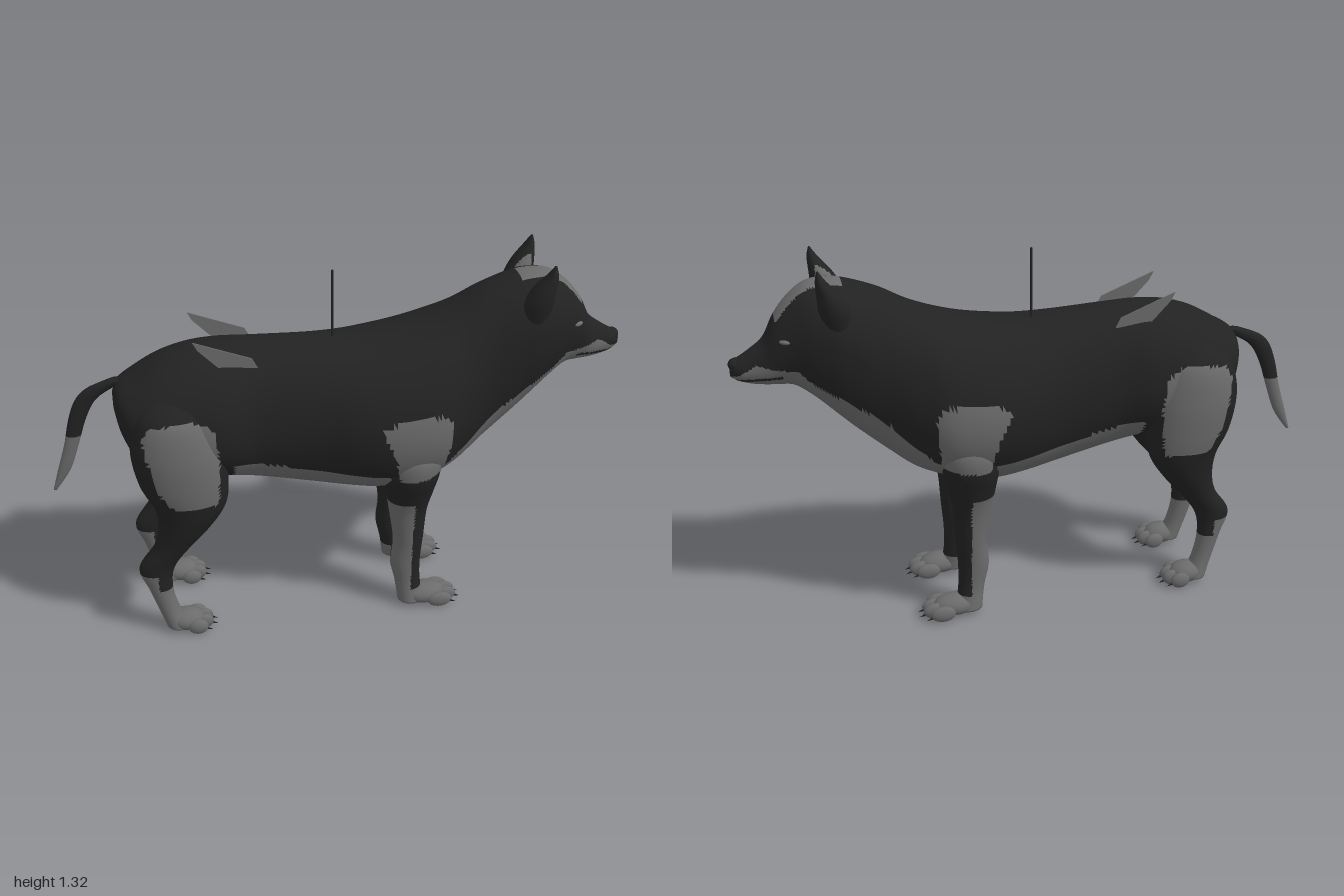
import * as THREE from 'three';

const coat = new THREE.MeshStandardMaterial({ color: 0x222222 });
coat.name = 'darkCoat';
const pale = new THREE.MeshStandardMaterial({ color: 0x6b6b6b });
pale.name = 'greyCoat';

const spline = (a, b, c, d, t) => 0.5 * (2 * b + (c - a) * t + (2 * a - 5 * b + 4 * c - d) * t * t + (3 * b - a - 3 * c + d) * t * t * t);

// Smooth skin through cross-sections; isPale(x, y, z) picks the colour of each face
function loft(name, sections, ring, isPale, sub = 8, seg = 48) {
  const pos = [], last = sections.length - 1, rows = last * sub;
  for (let i = 0; i <= rows; i++) {
    const k = Math.min(Math.floor(i / sub), last - 1), t = i / sub - k;
    const at = (n) => sections[Math.max(0, Math.min(last, n))];
    const s = at(k).map((v, c) => spline(at(k - 1)[c], v, at(k + 1)[c], at(k + 2)[c], t));
    for (let j = 0; j < seg; j++) pos.push(...ring(s, (j / seg) * Math.PI * 2));
  }
  const centre = (row) => {
    const c = [0, 0, 0];
    for (let j = 0; j < seg; j++) for (let n = 0; n < 3; n++) c[n] += pos[(row * seg + j) * 3 + n] / seg;
    return c;
  };
  const ends = [...centre(0), ...centre(rows)];
  pos.push(...ends);
  const faces = [[], []], first = (rows + 1) * seg;
  const add = (...f) => {
    const m = [0, 1, 2].map((n) => f.reduce((sum, v) => sum + pos[v * 3 + n], 0) / 3);
    faces[isPale(...m) ? 1 : 0].push(...f);
  };
  for (let j = 0; j < seg; j++) {
    const n = (j + 1) % seg;
    for (let i = 0; i < rows; i++) {
      const a = i * seg + j, b = a + seg, d = i * seg + n, c = d + seg;
      add(a, d, c);
      add(a, c, b);
    }
    add(first, n, j);
    add(first + 1, rows * seg + j, rows * seg + n);
  }
  const geo = new THREE.BufferGeometry();
  geo.setAttribute('position', new THREE.Float32BufferAttribute(pos, 3));
  geo.setIndex([...faces[0], ...faces[1]]);
  geo.addGroup(0, faces[0].length, 0);
  geo.addGroup(faces[0].length, faces[1].length, 1);
  geo.computeVertexNormals();
  const mesh = new THREE.Mesh(geo, [coat, pale]);
  mesh.name = name;
  return mesh;
}

// Upright section: [x, top, bottom, half width, height of widest point]
const uprightRing = ([x, top, bottom, w, mid], a) => {
  const c = Math.cos(a), s = Math.sin(a);
  return [x, mid + c * (c > 0 ? top - mid : mid - bottom), Math.sign(s) * Math.abs(s) ** 0.9 * w];
};
// Level section: [y, x, z, x radius, z radius]
const levelRing = (side) => ([y, x, z, rx, rz], a) => [x + Math.cos(a) * rx, y, side * z + Math.sin(a) * rz];

function inside(poly, x, y) {
  let hit = false;
  poly.forEach(([ax, ay], i) => {
    const [bx, by] = poly[(i + 1) % poly.length];
    if ((ay > y) !== (by > y) && x < ((bx - ax) * (y - ay)) / (by - ay) + ax) hit = !hit;
  });
  return hit;
}
function lineAt(line, x) {
  const i = line.findIndex((p) => p[0] >= x);
  if (i < 1) return -1;
  const [ax, ay] = line[i - 1], [bx, by] = line[i];
  return ay + ((by - ay) * (x - ax)) / (bx - ax);
}

// Marking outlines seen from the side
const hipPatch = [[-0.68, 0.85], [-0.65, 0.9], [-0.52, 0.915], [-0.44, 0.87], [-0.43, 0.75], [-0.44, 0.58], [-0.6, 0.59], [-0.65, 0.68]];
const shoulderPatch = [[0.11, 0.83], [0.18, 0.87], [0.33, 0.865], [0.36, 0.82], [0.34, 0.62], [0.18, 0.61], [0.16, 0.71]];
const bellyLine = [[-0.38, 0.71], [-0.1, 0.65], [0.12, 0.62], [0.3, 0.6], [0.4, 0.68], [0.5, 0.78], [0.6, 0.85], [0.73, 0.93], [0.78, 0.98], [0.85, 0.985], [0.91, 1.0], [0.96, 0.965], [1.01, 0.95]];
const onPatch = (x, y, z) => Math.abs(z) > 0.1 && (inside(hipPatch, x, y) || inside(shoulderPatch, x, y));

function bodyMarks(x, y, z) {
  if (x > 0.83 && Math.abs(y - 0.947 - (0.9 - x) * 0.1) < 0.005) return false; // mouth
  if (x > 0.62 && x < 0.84 && y > 1.14 && Math.abs(z) < 0.048) return true; // forehead
  return y < lineAt(bellyLine, x) || onPatch(x, y, z);
}

const bodySections = [
  [-0.76, 0.93, 0.87, 0.03, 0.9], [-0.74, 0.96, 0.78, 0.11, 0.88], [-0.69, 0.99, 0.68, 0.17, 0.85], [-0.6, 1.04, 0.63, 0.2, 0.84],
  [-0.5, 1.07, 0.61, 0.215, 0.83], [-0.4, 1.08, 0.6, 0.215, 0.82], [-0.28, 1.08, 0.57, 0.188, 0.82], [-0.1, 1.07, 0.53, 0.205, 0.81],
  [0.02, 1.065, 0.51, 0.24, 0.8], [0.12, 1.073, 0.5, 0.262, 0.79], [0.22, 1.09, 0.505, 0.268, 0.79], [0.32, 1.12, 0.535, 0.255, 0.8],
  [0.41, 1.16, 0.57, 0.21, 0.85], [0.5, 1.21, 0.64, 0.175, 0.95], [0.6, 1.245, 0.73, 0.165, 1.05], [0.66, 1.255, 0.79, 0.16, 1.08],
  [0.73, 1.25, 0.86, 0.138, 1.08], [0.79, 1.21, 0.905, 0.106, 1.06], [0.84, 1.15, 0.912, 0.083, 1.03], [0.88, 1.075, 0.915, 0.066, 0.99],
  [0.93, 1.035, 0.922, 0.048, 0.975], [0.97, 1.01, 0.935, 0.036, 0.975], [0.995, 0.99, 0.95, 0.016, 0.972],
];
const foreSections = [
  [0.76, 0.24, 0.14, 0.06, 0.06], [0.68, 0.24, 0.15, 0.1, 0.1], [0.6, 0.235, 0.155, 0.1, 0.095], [0.52, 0.232, 0.15, 0.085, 0.075],
  [0.43, 0.23, 0.142, 0.068, 0.058], [0.3, 0.235, 0.135, 0.055, 0.052], [0.2, 0.228, 0.133, 0.055, 0.046], [0.11, 0.238, 0.135, 0.047, 0.042], [0.03, 0.25, 0.145, 0.048, 0.045],
];
const hindSections = [
  [0.97, -0.56, 0.11, 0.08, 0.05], [0.9, -0.57, 0.13, 0.125, 0.1], [0.78, -0.565, 0.145, 0.155, 0.108], [0.65, -0.55, 0.15, 0.15, 0.1],
  [0.55, -0.535, 0.15, 0.122, 0.085], [0.46, -0.56, 0.147, 0.09, 0.068], [0.38, -0.605, 0.142, 0.066, 0.052], [0.29, -0.665, 0.137, 0.063, 0.042],
  [0.2, -0.66, 0.137, 0.043, 0.036], [0.1, -0.635, 0.14, 0.037, 0.036], [0.03, -0.605, 0.145, 0.045, 0.045],
];
const earSections = [
  [1.325, 0.7, 0.13, 0.003, 0.005], [1.29, 0.692, 0.13, 0.018, 0.027], [1.24, 0.67, 0.122, 0.038, 0.046],
  [1.19, 0.655, 0.118, 0.05, 0.05], [1.13, 0.645, 0.11, 0.045, 0.045],
];
const tailSections = [
  [0.96, -0.74, -0.03, 0.03, 0.018], [0.93, -0.8, -0.034, 0.045, 0.018], [0.89, -0.85, -0.035, 0.036, 0.018], [0.82, -0.885, -0.035, 0.03, 0.018],
  [0.72, -0.915, -0.035, 0.025, 0.017], [0.62, -0.95, -0.035, 0.022, 0.014], [0.54, -0.99, -0.035, 0.006, 0.006],
];

export function createModel() {
  const model = new THREE.Group();
  const part = (name, geo, mat, [x, y, z], scale = [1, 1, 1]) => {
    const mesh = new THREE.Mesh(geo, mat);
    mesh.name = name;
    mesh.position.set(x, y, z);
    mesh.scale.set(...scale);
    model.add(mesh);
    return mesh;
  };
  const ball = new THREE.SphereGeometry(1, 20, 14);
  const clawShape = new THREE.ConeGeometry(0.008, 0.04, 8).rotateZ(-Math.PI / 2 - 0.35);

  model.add(loft('body', bodySections, uprightRing, bodyMarks, 8, 72));
  model.add(loft('tail', tailSections, levelRing(1), (x, y) => y < 0.75, 6, 16));
  part('nose', ball, coat, [0.972, 0.99, 0], [0.027, 0.022, 0.028]);

  // Paw with four toes and dark claws
  const paw = (name, x, z, k) => {
    part(name, ball, pale, [x + 0.055 * k, 0.048, z], [0.08 * k, 0.04, 0.05]);
    [-0.045, -0.016, 0.016, 0.045].forEach((dz, i) => {
      const back = i % 3 ? 0 : 0.022;
      part(name + 'Toe', ball, pale, [x + 0.128 * k - back, 0.038, z + dz], [0.045 * k, 0.03, 0.018]);
      part(name + 'Claw', clawShape, coat, [x + 0.17 * k - back, 0.026, z + dz]);
    });
  };

  // Back blade outline
  const blade = new THREE.Shape([[-0.49, 1.145], [-0.475, 1.115], [-0.4, 1.035], [-0.28, 1.03], [-0.3, 1.07]].map((p) => new THREE.Vector2(...p)));
  const bladeGeo = new THREE.ExtrudeGeometry(blade, { depth: 0.004, bevelEnabled: false });

  for (const s of [1, -1]) {
    const ring = levelRing(s);
    model.add(loft('frontLeg', foreSections, ring, (x, y, z) =>
      y < 0.09 || (y < 0.49 && x < 0.243 && s * z > 0.135) || onPatch(x, y, z)));
    model.add(loft('hindLeg', hindSections, ring, (x, y, z) =>
      y < 0.2 || (y < 0.27 && x < -0.665) || (s * z > 0.1 && onPatch(x, y, z))));
    model.add(loft('ear', earSections, ring, (x, y, z) => y > 1.21 && s * z < 0.092 && x < 0.69, 8, 28));
    paw('frontPaw', 0.245, s * 0.145, 1);
    paw('hindPaw', -0.62, s * 0.145, 0.8);
    const eye = part('eye', ball, pale, [0.815, 1.085, s * 0.087], [0.02, 0.008, 0.011]);
    eye.rotation.y = s * 0.6;
    part('backBlade', bladeGeo, pale, [0, 0, s * 0.11 - 0.002]);
  }

  // Thin upright pin on the back
  part('backPin', new THREE.CylinderGeometry(0.004, 0.004, 0.27, 8), coat, [-0.015, 1.172, -0.008]);

  return model;
}
